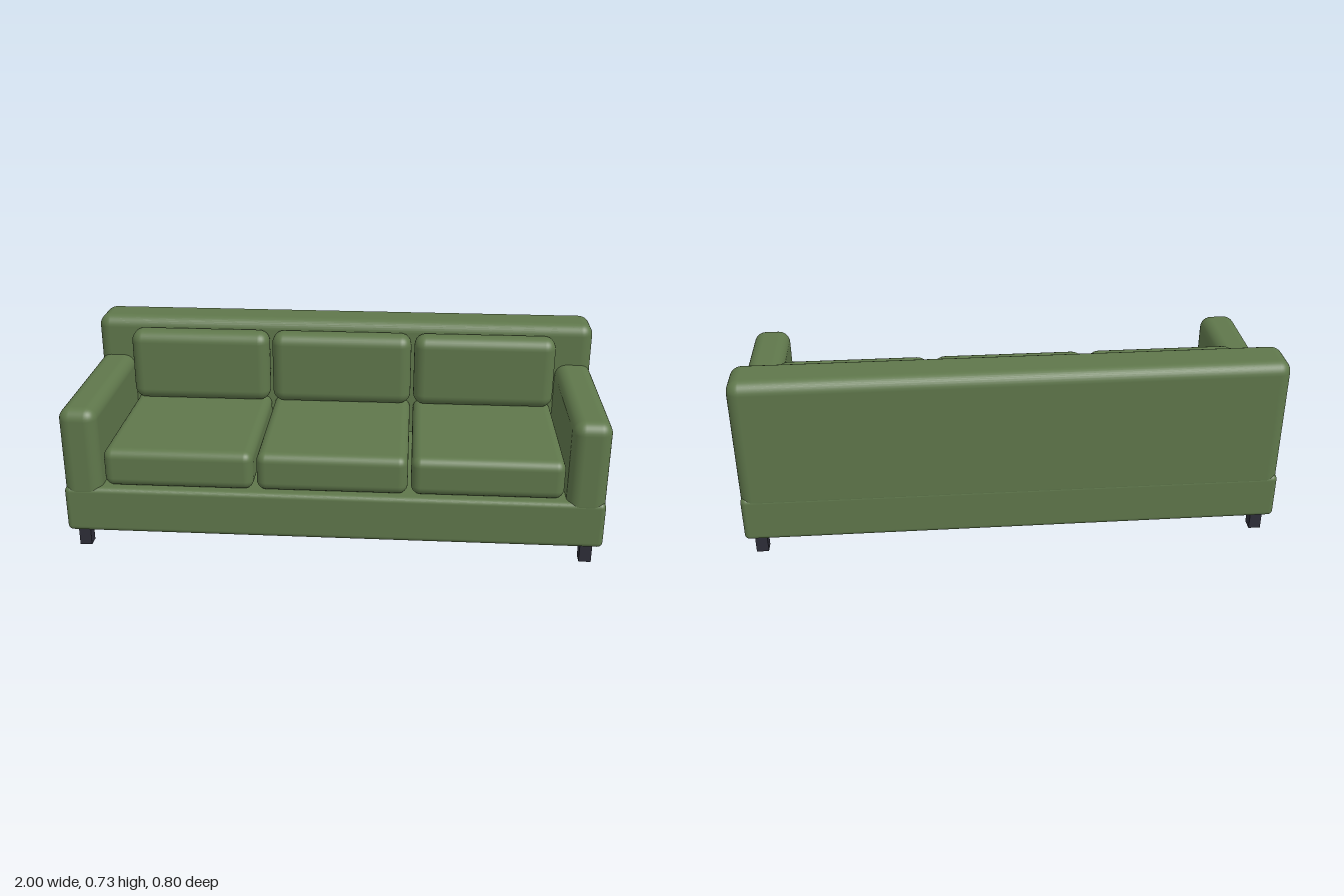
import * as THREE from 'three';
import { RoundedBoxGeometry } from 'three/addons/geometries/RoundedBoxGeometry.js';

export function createModel() {
  const sofa = new THREE.Group();
  sofa.name = 'sofa';

  const fabric = new THREE.MeshStandardMaterial({ color: 0x5f774b });
  fabric.name = 'green fabric';
  const legPaint = new THREE.MeshStandardMaterial({ color: 0x2d2d38 });
  legPaint.name = 'dark leg';

  // Adds a padded block spanning the given ranges on each axis
  function pad(name, [x0, x1], [y0, y1], [z0, z1], radius) {
    const geometry = new RoundedBoxGeometry(x1 - x0, y1 - y0, z1 - z0, 4, radius);
    const mesh = new THREE.Mesh(geometry, fabric);
    mesh.position.set((x0 + x1) / 2, (y0 + y1) / 2, (z0 + z1) / 2);
    mesh.name = name;
    sofa.add(mesh);
  }

  // Frame
  pad('base', [-1, 1], [0.075, 0.255], [-0.4, 0.4], 0.02);
  pad('backrest', [-1, 1], [0.2, 0.728], [-0.4, -0.218], 0.045);
  pad('leftArm', [0.858, 1], [0.2, 0.565], [-0.4, 0.4], 0.045);
  pad('rightArm', [-1, -0.858], [0.2, 0.565], [-0.4, 0.4], 0.045);

  // Three seat cushions, each with a back cushion
  for (const [i, side] of ['right', 'middle', 'left'].entries()) {
    const x = (i - 1) * 0.57;
    const span = [x - 0.279, x + 0.279];
    pad(side + 'SeatCushion', span, [0.255, 0.404], [-0.24, 0.382], 0.035);
    pad(side + 'BackCushion', span, [0.404, 0.692], [-0.235, -0.128], 0.045);
  }

  // Square legs at the corners
  const legGeometry = new THREE.BoxGeometry(0.045, 0.08, 0.045);
  for (const sx of [-1, 1]) {
    for (const sz of [-1, 1]) {
      const leg = new THREE.Mesh(legGeometry, legPaint);
      leg.name = (sz > 0 ? 'front' : 'back') + (sx > 0 ? 'Left' : 'Right') + 'Leg';
      leg.position.set(sx * 0.945, 0.04, sz * 0.345);
      sofa.add(leg);
    }
  }

  return sofa;
}
